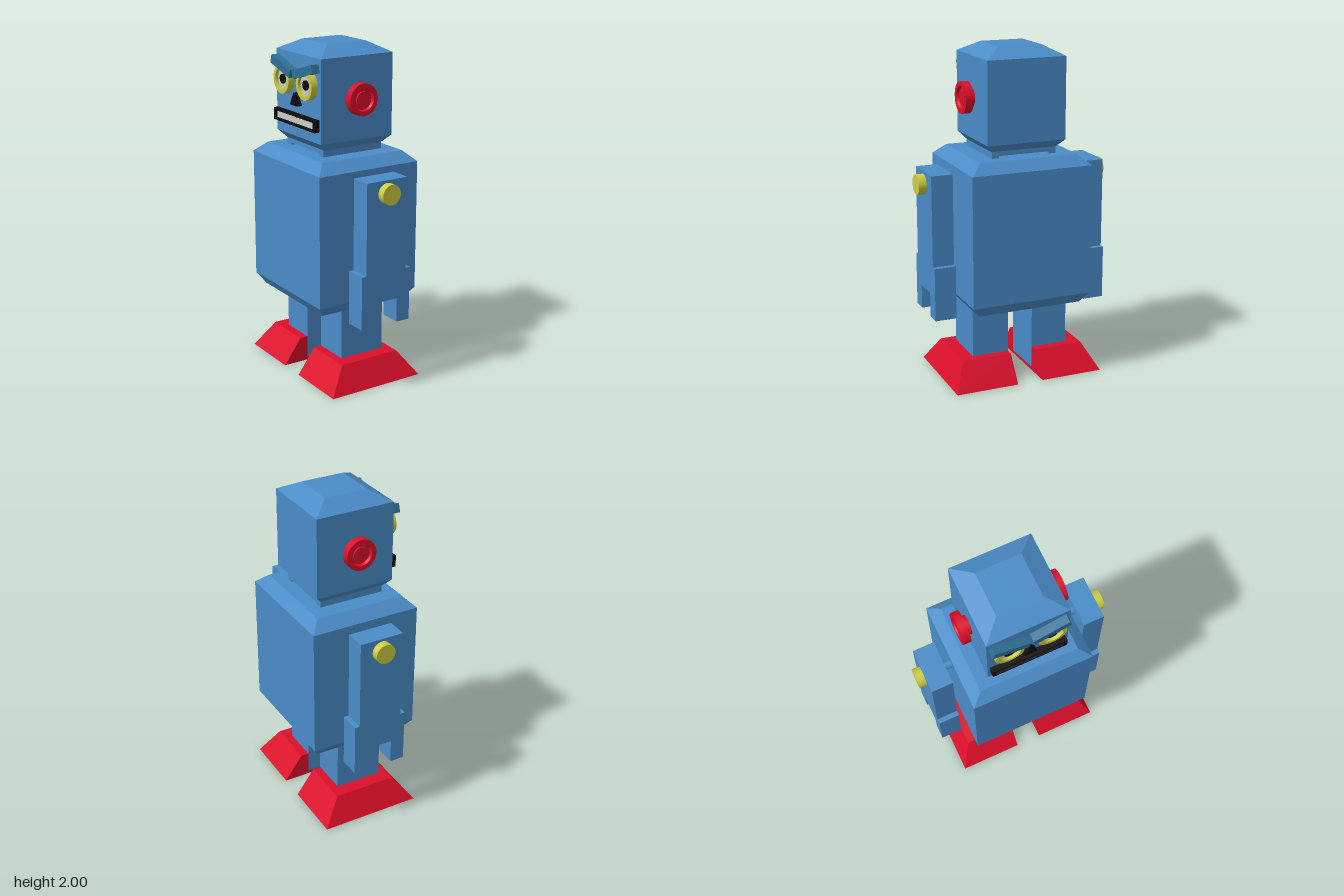
import * as THREE from 'three';
import { toCreasedNormals } from 'three/addons/utils/BufferGeometryUtils.js';

const paint = (color) => new THREE.MeshStandardMaterial({ color });
const BLUE = paint(0x4a8cc8), RED = paint(0xdc0f2a), YELLOW = paint(0xcccc44);
const TEAL = paint(0x2f7096), BLACK = paint(0x0c0c0c), GREY = paint(0xcccccc);

function add(parent, name, geometry, material, x = 0, y = 0, z = 0) {
  const mesh = new THREE.Mesh(geometry, material);
  mesh.name = name;
  mesh.position.set(x, y, z);
  parent.add(mesh);
  return mesh;
}

// Block with a rectangular section at each level, bottom to top: [y, halfX, zMin, zMax]
function block(levels) {
  const n = levels.length - 1;
  const g = new THREE.BoxGeometry(2, 2, 2, 1, n, 1);
  const p = g.attributes.position;
  for (let i = 0; i < p.count; i++) {
    const [y, hx, z0, z1] = levels[Math.round((p.getY(i) + 1) / 2 * n)];
    p.setXYZ(i, Math.sign(p.getX(i)) * hx, y, p.getZ(i) < 0 ? z0 : z1);
  }
  const flat = g.toNonIndexed();
  flat.computeVertexNormals();
  return flat;
}

// Turned part from [radius, height] pairs, with crisp edges
function turned(points) {
  const profile = points.map(([r, h]) => new THREE.Vector2(r, h));
  return toCreasedNormals(new THREE.LatheGeometry(profile, 32), 0.6);
}

const box = (x, y, z) => new THREE.BoxGeometry(x, y, z);
const disc = (r, h) => new THREE.CylinderGeometry(r, r, h, 32);

// Arm outline with a two-pronged claw
function armGeometry() {
  const half = [[0.078, 0.57], [0.078, 0.424], [0.166, 0.424], [0.166, 0.745], [0.136, 0.745], [0.136, 1.288]];
  const outline = [...half, ...half.map(([x, y]) => [-x, y]).reverse()];
  const shape = new THREE.Shape(outline.map(([x, y]) => new THREE.Vector2(x, y)));
  return new THREE.ExtrudeGeometry(shape, { depth: 0.13, bevelEnabled: false }).translate(0, 0, -0.065);
}

function buildSide(robot, s) {
  const span = (a, b) => (s > 0 ? [a, b] : [-b, -a]);

  // Leg and sloped foot
  const leg = add(robot, 'leg', box(0.29, 0.49, 0.226), BLUE, 0, 0.265, s * 0.192);
  leg.name = s > 0 ? 'legOne' : 'legTwo';
  add(robot, 'foot', block([[0, 0.308, ...span(0.08, 0.467)], [0.155, 0.195, ...span(0.08, 0.388)]]), RED);

  // Arm, shoulder axle and cap
  add(robot, 'arm', armGeometry(), BLUE, 0, 0, s * 0.48);
  add(robot, 'shoulderAxle', disc(0.025, 0.1), BLUE, 0, 1.22, s * 0.39).rotation.x = Math.PI / 2;
  add(robot, 'shoulderCap', disc(0.06, 0.05), YELLOW, 0, 1.213, s * 0.567).rotation.x = Math.PI / 2;

  // Ear dial with a recessed ring
  const ear = turned([[0, 0], [0.055, 0], [0.055, 0.03], [0.093, 0.03], [0.093, 0.077],
    [0.066, 0.077], [0.06, 0.06], [0.045, 0.06], [0.045, 0.07], [0, 0.07]]);
  add(robot, 'ear', ear, RED, 0, 1.7, s * 0.235).rotation.x = s * Math.PI / 2;

  // Eye: rim, plate and pupil, facing -x
  const eye = new THREE.Group();
  eye.name = 'eye';
  eye.position.set(-0.235, 1.78, s * 0.125);
  eye.rotation.z = Math.PI / 2;
  robot.add(eye);
  add(eye, 'eyeRim', turned([[0.062, 0], [0.085, 0], [0.085, 0.048], [0.062, 0.048], [0.062, 0]]), YELLOW);
  add(eye, 'eyePlate', disc(0.064, 0.03), GREY, 0, 0.015, 0);
  add(eye, 'pupil', disc(0.028, 0.04), BLACK, 0, 0.02, 0);

  // Brow slanting down to the middle
  add(robot, 'brow', box(0.055, 0.05, 0.218), TEAL, -0.264, 1.856, s * 0.118).rotation.x = -s * 0.28;
}

export function createModel() {
  const robot = new THREE.Group();
  robot.name = 'robot';

  // Torso
  add(robot, 'torso', block([[0.465, 0.293, -0.323, 0.323], [0.53, 0.336, -0.372, 0.372],
    [1.312, 0.336, -0.372, 0.372], [1.372, 0.274, -0.303, 0.303]]), BLUE);

  // Neck: plate on two side rails
  add(robot, 'neckPlate', box(0.4, 0.035, 0.4), BLUE, 0, 1.4025, 0);
  for (const s of [1, -1]) add(robot, 'neckRail', box(0.4, 0.05, 0.045), BLUE, 0, 1.39, s * 0.1775);

  // Head
  add(robot, 'head', block([[1.41, 0.198, -0.2, 0.2], [1.457, 0.242, -0.242, 0.242],
    [1.94, 0.242, -0.242, 0.242], [2, 0.133, -0.133, 0.133]]), BLUE);

  for (const s of [1, -1]) buildSide(robot, s);

  // Nose: small wedge
  const triangle = new THREE.Shape([new THREE.Vector2(-0.04, 1.645), new THREE.Vector2(0.04, 1.645), new THREE.Vector2(0, 1.72)]);
  const nose = new THREE.ExtrudeGeometry(triangle, { depth: 0.04, bevelEnabled: false });
  add(robot, 'nose', nose, BLACK, -0.236, 0, 0).rotation.y = -Math.PI / 2;

  // Mouth: black frame around a grey bar
  add(robot, 'mouthBar', box(0.025, 0.05, 0.42), GREY, -0.25, 1.561, 0);
  for (const s of [1, -1]) {
    add(robot, 'mouthRail', box(0.04, 0.014, 0.45), BLACK, -0.256, 1.561 + s * 0.028, 0);
    add(robot, 'mouthEnd', box(0.04, 0.07, 0.018), BLACK, -0.256, 1.561, s * 0.216);
  }
  return robot;
}
